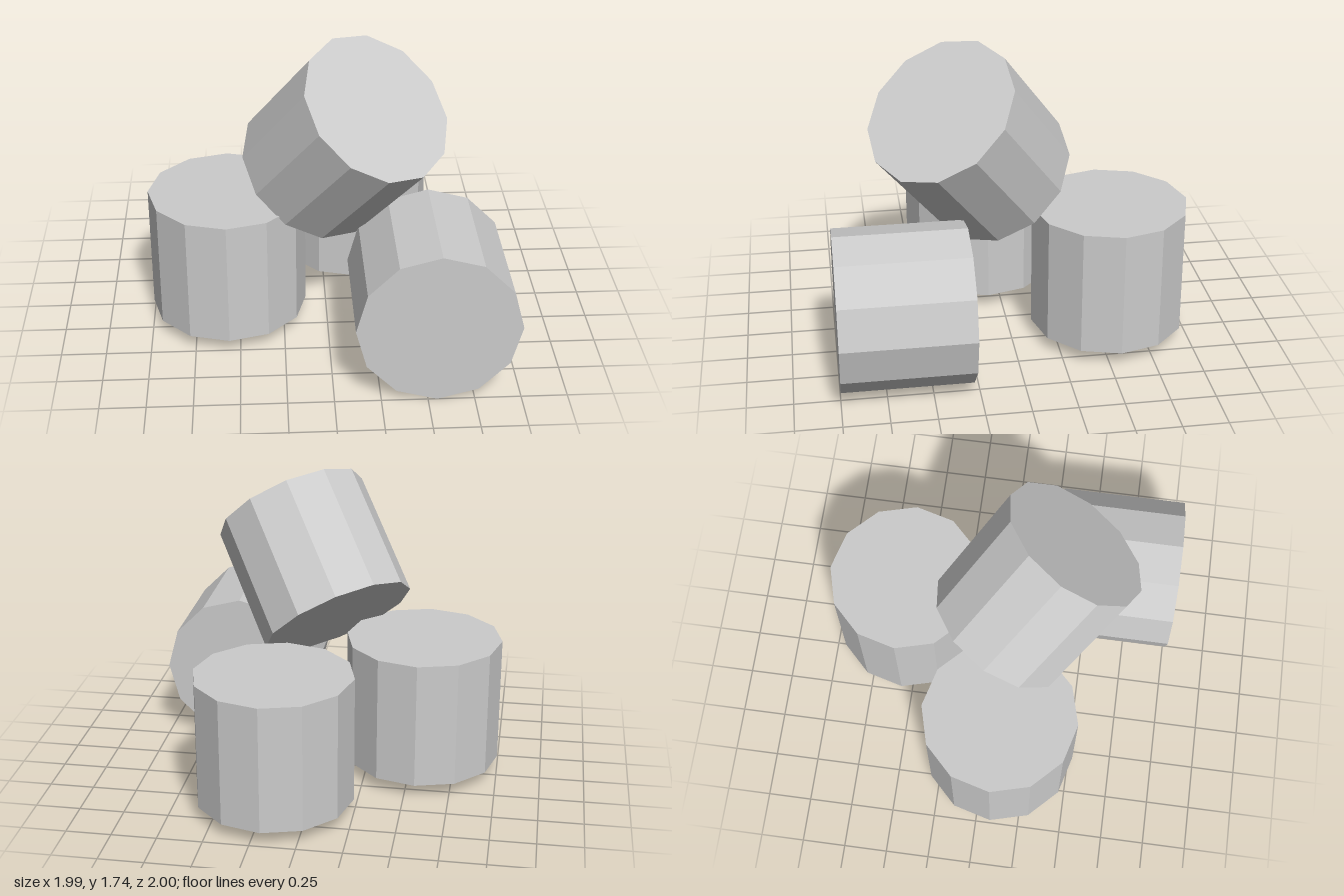
import * as THREE from 'three';

const RADIUS = 0.44, HEIGHT = 0.72, SIDES = 12;

export function createModel() {
  const model = new THREE.Group();
  const material = new THREE.MeshStandardMaterial({ color: 0xcccccc, flatShading: true });
  const geometry = new THREE.CylinderGeometry(RADIUS, RADIUS, HEIGHT, SIDES);

  // One drum, placed by its centre
  function addDrum(name, x, y, z) {
    const drum = new THREE.Mesh(geometry, material);
    drum.name = name;
    drum.position.set(x, y, z);
    model.add(drum);
    return drum;
  }

  // Two drums standing upright
  addDrum('rightUprightDrum', -0.56, 0.44, 0.085);
  addDrum('backUprightDrum', 0.19, 0.44, -0.56);

  // Drum lying on its side, pointing forward
  addDrum('lyingDrum', 0.55, 0.44, 0.64).rotation.x = Math.PI / 2;

  // Drum leaning on top of the pile: axis direction plus the direction of one corner
  const leaning = addDrum('leaningDrum', 0.09, 1.173, 0.21);
  const axis = new THREE.Vector3(0.456, 0.738, 0.497).normalize();
  const side = new THREE.Vector3().crossVectors(axis, new THREE.Vector3(-0.225, 0.295, -0.232)).normalize();
  const corner = new THREE.Vector3().crossVectors(side, axis);
  leaning.quaternion.setFromRotationMatrix(new THREE.Matrix4().makeBasis(side, axis, corner));

  return model;
}
